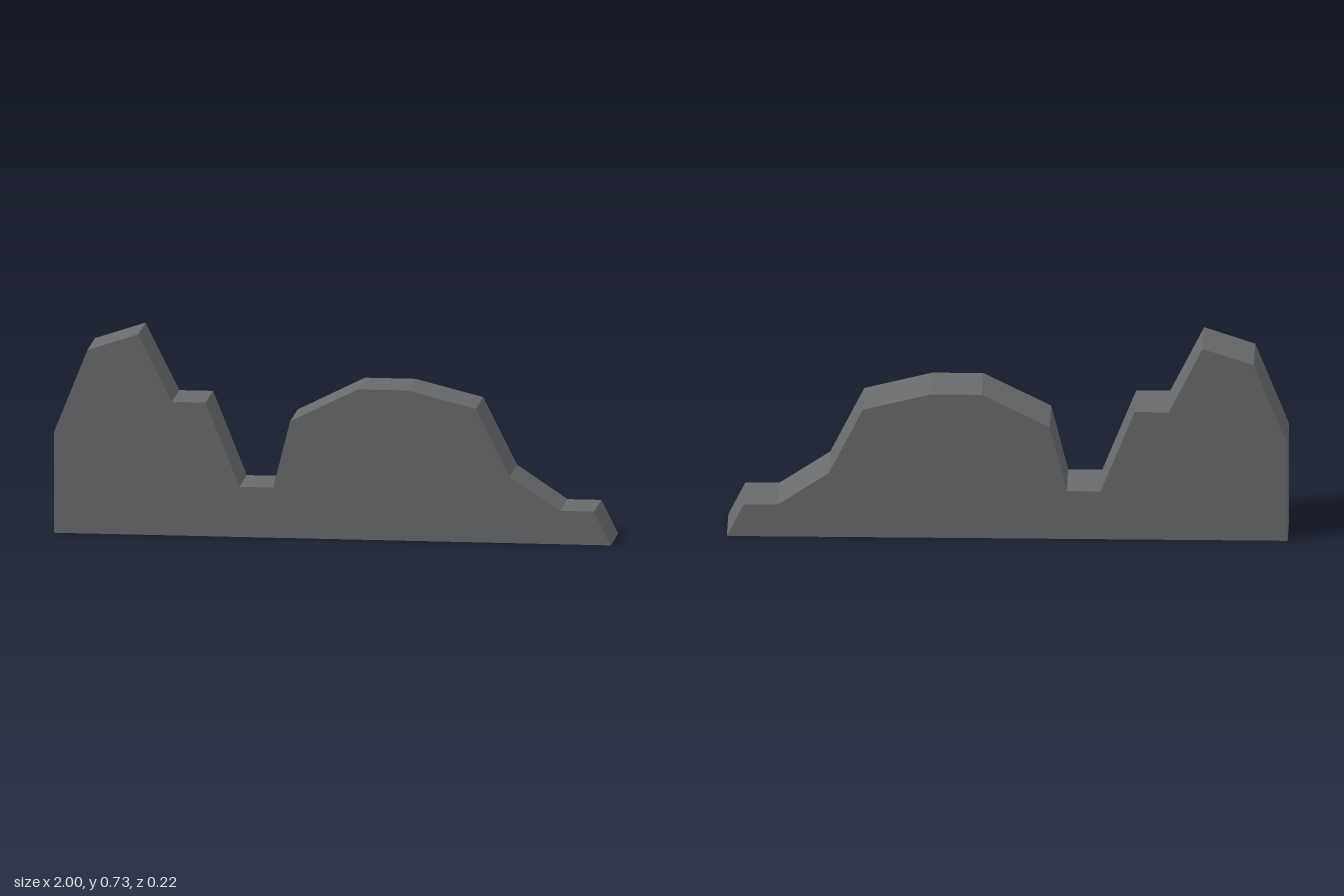
import * as THREE from 'three';

export function createModel() {
  const group = new THREE.Group();
  group.name = 'rockRidge';

  const stone = new THREE.MeshStandardMaterial({ color: 0x696a6c });
  stone.name = 'grey stone';

  // Ridge silhouette on a grid of 33 steps along its length
  const step = 2 / 33;
  const depth = 0.222;
  const profile = [
    [0, 0], [33, 0], [32, 2], [30, 2], [27, 4], [25, 8], [21, 9], [18, 9],
    [14, 7], [13, 3], [11, 3], [9, 8], [7, 8], [5, 12], [2, 11], [0, 6],
  ].map(([x, y]) => new THREE.Vector2(x * step - 1, y * step));

  // Constant-depth slab with sharp edges
  const geometry = new THREE.ExtrudeGeometry(new THREE.Shape(profile), {
    depth, bevelEnabled: false,
  });
  geometry.translate(0, 0, -depth / 2);

  const ridge = new THREE.Mesh(geometry, stone);
  ridge.name = 'ridge';
  group.add(ridge);
  return group;
}
